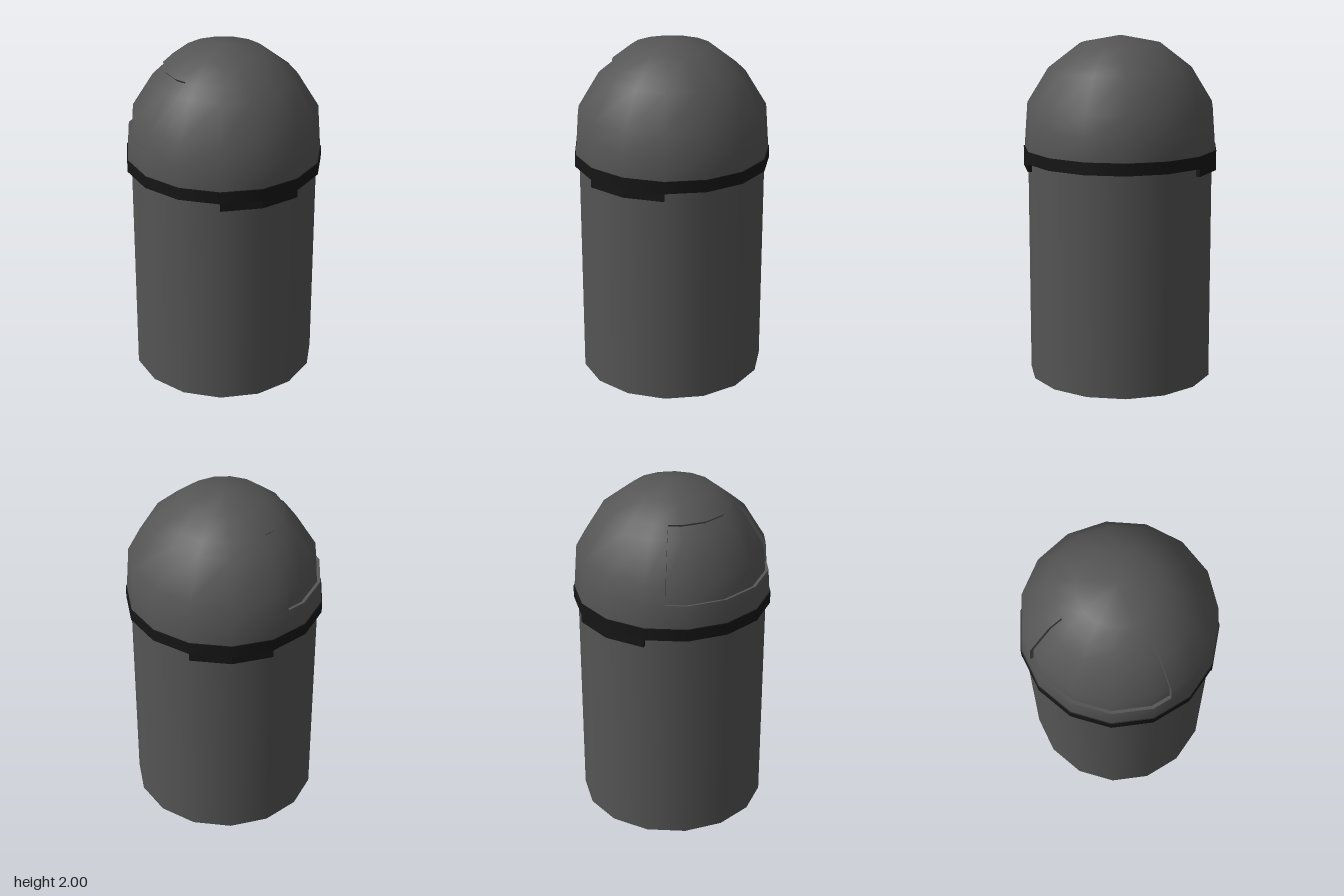
import * as THREE from 'three';

const SIDES = 15, STEP = 360 / SIDES, RAD = Math.PI / 180;
const bodyMat = new THREE.MeshStandardMaterial({ color: 0x555555, side: THREE.DoubleSide });
const trimMat = new THREE.MeshStandardMaterial({ color: 0x161616 });

// Point on a 15-sided outline: corner radius r, height y, angle in degrees from +x towards +z
function ringPoint([r, y], deg) {
  const k = Math.cos(STEP / 2 * RAD) / Math.cos(((deg % STEP) - STEP / 2) * RAD);
  return new THREE.Vector3(r * k * Math.cos(deg * RAD), y, r * k * Math.sin(deg * RAD));
}

// All outline corners between two angles, including both ends
function anglesBetween(from, to) {
  const list = [from];
  for (let a = Math.floor(from / STEP) * STEP + STEP; a < to; a += STEP) list.push(a);
  return [...list, to];
}

// Dome profile normal [radial, up]
function profileNormal([r, y]) {
  const n = new THREE.Vector2(r / 0.56 ** 2, (y - 1.355) / 0.645 ** 2).normalize();
  return [n.x, n.y];
}

// Surface through rows of points; smooth dome normals or flat faces
function surface(rows, smooth) {
  const cols = rows[0].length, pos = [], nor = [], idx = [];
  for (const p of rows.flat()) {
    pos.push(p.x, p.y, p.z);
    const r = Math.hypot(p.x, p.z);
    const [nr, ny] = profileNormal([r, p.y]);
    nor.push(r ? nr * p.x / r : 0, ny, r ? nr * p.z / r : 0);
  }
  for (let i = 0; i < rows.length - 1; i++) for (let j = 0; j < cols - 1; j++) {
    const a = i * cols + j, b = a + cols;
    idx.push(a, b, a + 1, b, b + 1, a + 1);
  }
  let geo = new THREE.BufferGeometry();
  geo.setAttribute('position', new THREE.Float32BufferAttribute(pos, 3));
  geo.setAttribute('normal', new THREE.Float32BufferAttribute(nor, 3));
  geo.setIndex(idx);
  if (!smooth) {
    geo = geo.toNonIndexed();
    geo.computeVertexNormals();
  }
  return geo;
}

const band = (profile, angles) => surface(profile.map(p => angles.map(a => ringPoint(p, a))), true);

export function createModel() {
  const model = new THREE.Group();
  const bin = new THREE.Group();
  bin.name = 'bin';
  bin.position.x = -0.006;
  model.add(bin);
  const add = (name, geo, mat, parent = bin) => {
    const mesh = new THREE.Mesh(geo, mat);
    mesh.name = name;
    parent.add(mesh);
    return mesh;
  };
  const drum = (r, y0, y1) =>
    new THREE.CylinderGeometry(r, r, y1 - y0, SIDES, 1, false, Math.PI / 2).translate(0, (y0 + y1) / 2, 0);

  // Container and dark collar
  add('body', drum(0.54, 0, 1.3), bodyMat);
  add('collar', drum(0.566, 1.285, 1.355), trimMat);

  // Clips under the collar, front and back
  for (const [name, start] of [['frontClip', 48], ['backClip', 240]]) {
    const arc = [0, 1, 2].map(i => start + i * STEP);
    const corner = (r, a) => new THREE.Vector2(r * Math.cos(a * RAD), r * Math.sin(a * RAD));
    const shape = new THREE.Shape([
      ...arc.map(a => corner(0.566, a)),
      ...arc.slice().reverse().map(a => corner(0.535, a)),
    ]);
    const geo = new THREE.ExtrudeGeometry(shape, { depth: 0.05, bevelEnabled: false });
    add(name, geo.rotateX(Math.PI / 2).translate(0, 1.29, 0), trimMat);
  }

  // Domed lid, with a gap in its middle band for the flap
  const lid = new THREE.Group();
  lid.name = 'lid';
  bin.add(lid);
  const middle = [[0.55, 1.49], [0.541, 1.61], [0.418, 1.81], [0.341, 1.87]];
  const full = anglesBetween(0, 360);
  const flapAngles = anglesBetween(132, 228);
  add('lidRim', band([[0.56, 1.355], middle[0]], full), bodyMat, lid);
  add('lidShell', band(middle, anglesBetween(228, 492)), bodyMat, lid);
  add('lidCrown', band([middle[3], [0.231, 1.955], [0, 2]], full), bodyMat, lid);

  // Flap set back along the dome normal, with walls joining it to the shell
  const inner = middle.map(p => {
    const [nr, ny] = profileNormal(p);
    return [p[0] - 0.02 * nr, p[1] - 0.02 * ny];
  });
  add('flap', band(inner, flapAngles), bodyMat, lid);
  const wall = (name, outerPts, innerPts) => add(name, surface([outerPts, innerPts], false), bodyMat, lid);
  const along = (p) => flapAngles.map(a => ringPoint(p, a));
  const upward = (profile, a) => profile.map(p => ringPoint(p, a));
  wall('flapSill', along(middle[0]), along(inner[0]));
  wall('flapHeader', along(inner[3]), along(middle[3]));
  wall('flapFrontEdge', upward(inner, 132), upward(middle, 132));
  wall('flapBackEdge', upward(middle, 228), upward(inner, 228));

  return model;
}
